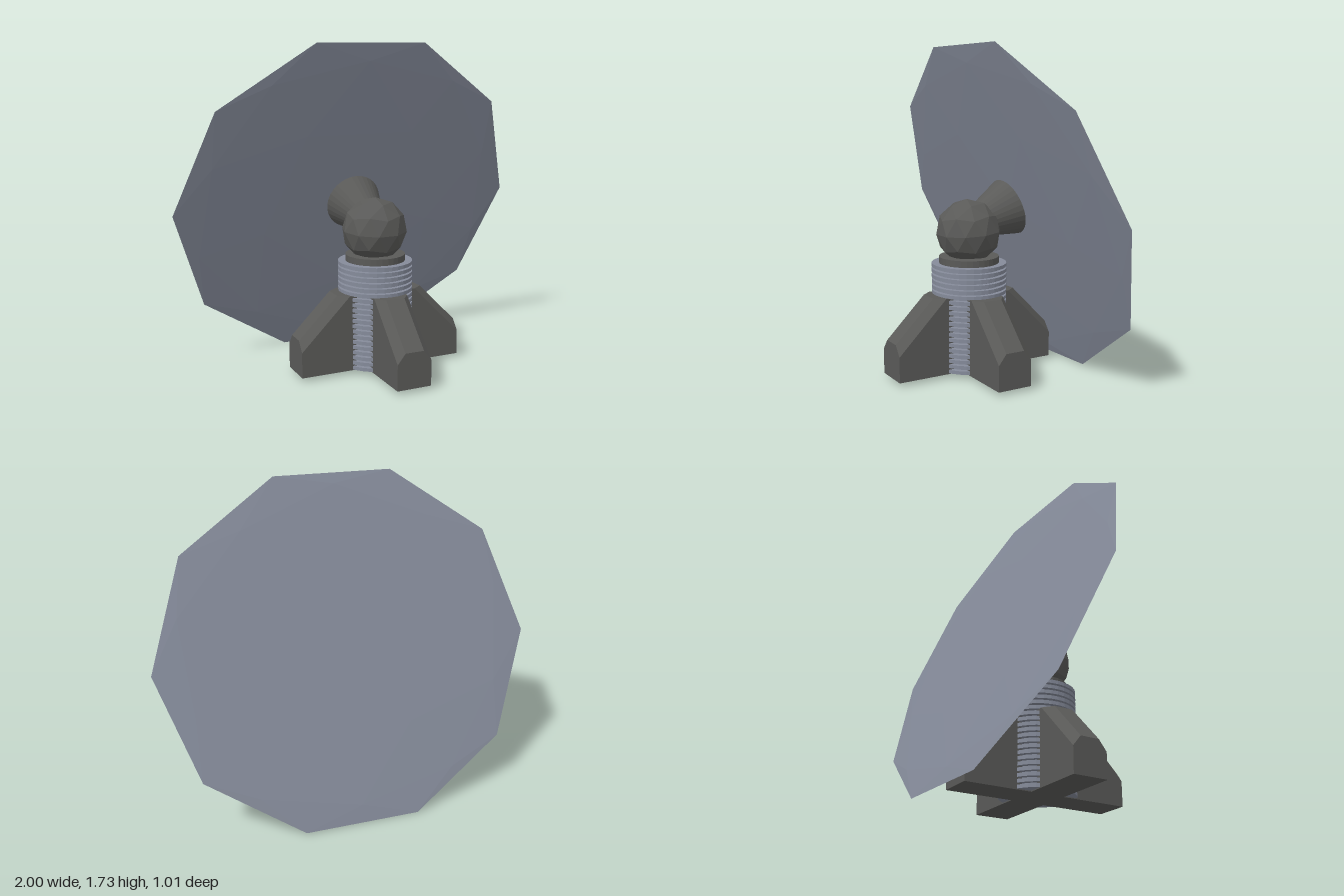
import * as THREE from 'three';
import { ConvexGeometry } from 'three/addons/geometries/ConvexGeometry.js';

const dark = new THREE.MeshStandardMaterial({ color: 0x5a5a58, flatShading: true });
const steel = new THREE.MeshStandardMaterial({ color: 0x858b9a, flatShading: true });

function add(parent, name, geometry, material) {
  const mesh = new THREE.Mesh(geometry, material);
  mesh.name = name;
  parent.add(mesh);
  return mesh;
}

// Icosphere with a corner pointing along +z
function icosphere(radius) {
  return new THREE.IcosahedronGeometry(radius, 1).rotateX(Math.atan(2 / (1 + Math.sqrt(5))));
}

// Bevelled foot running out along +z, sloping down to its end
function footGeometry() {
  const points = [];
  for (const s of [-1, 1]) {
    points.push(
      new THREE.Vector3(s * 0.095, 0.025, 0),
      new THREE.Vector3(s * 0.095, 0.43, 0),
      new THREE.Vector3(s * 0.095, 0.43, 0.19),
      new THREE.Vector3(s * 0.052, 0.43, 0.245),
      new THREE.Vector3(s * 0.052, 0.215, 0.46),
      new THREE.Vector3(s * 0.095, 0.16, 0.46),
      new THREE.Vector3(s * 0.095, 0.025, 0.46));
  }
  return new ConvexGeometry(points);
}

// Ribbed column profile, turned about y
function columnGeometry() {
  const bottom = 0.03, top = 0.6, ribs = 20, pitch = (top - bottom) / ribs;
  const profile = [new THREE.Vector2(0, bottom)];
  for (let i = 0; i < ribs; i++) {
    const y = bottom + i * pitch;
    profile.push(new THREE.Vector2(0.2, y), new THREE.Vector2(0.2, y + pitch * 0.65));
    if (i < ribs - 1) {
      profile.push(new THREE.Vector2(0.175, y + pitch * 0.65), new THREE.Vector2(0.175, y + pitch));
    }
  }
  const last = profile[profile.length - 1].y;
  profile.push(new THREE.Vector2(0, last));
  return new THREE.LatheGeometry(profile, 32);
}

export function createModel() {
  const model = new THREE.Group();
  model.name = 'dishAntenna';

  // Pedestal: four feet around a ribbed column
  const pedestal = new THREE.Group();
  pedestal.name = 'pedestal';
  pedestal.position.set(0.025, 0, 0.048);
  model.add(pedestal);
  const foot = footGeometry();
  for (let i = 0; i < 4; i++) {
    add(pedestal, 'foot', foot, dark).rotation.y = i * Math.PI / 2;
  }
  add(pedestal, 'ribbedColumn', columnGeometry(), steel);
  add(pedestal, 'neck', new THREE.CylinderGeometry(0.16, 0.16, 0.06, 32), dark).position.y = 0.595;

  // Faceted ball joint
  const ball = add(pedestal, 'ballJoint', icosphere(0.175).rotateX(-Math.PI / 2), dark);
  ball.position.set(-0.005, 0.755, 0);
  ball.rotation.set(0.06, 0.02, 0);

  // Tilted head: flat ten-sided dish and its flared mount
  const head = new THREE.Group();
  head.name = 'dishHead';
  head.position.set(0, 0.871, -0.214);
  head.rotation.set(0.319, 0.0225, 0.01, 'ZYX');
  model.add(head);
  add(head, 'dish', icosphere(1).scale(1, 0.955, 0.01), steel);
  const mount = new THREE.CylinderGeometry(0.085, 0.157, 0.21, 32).rotateX(Math.PI / 2);
  add(head, 'flaredMount', mount, dark).position.set(0.01, 0, 0.115);

  return model;
}
